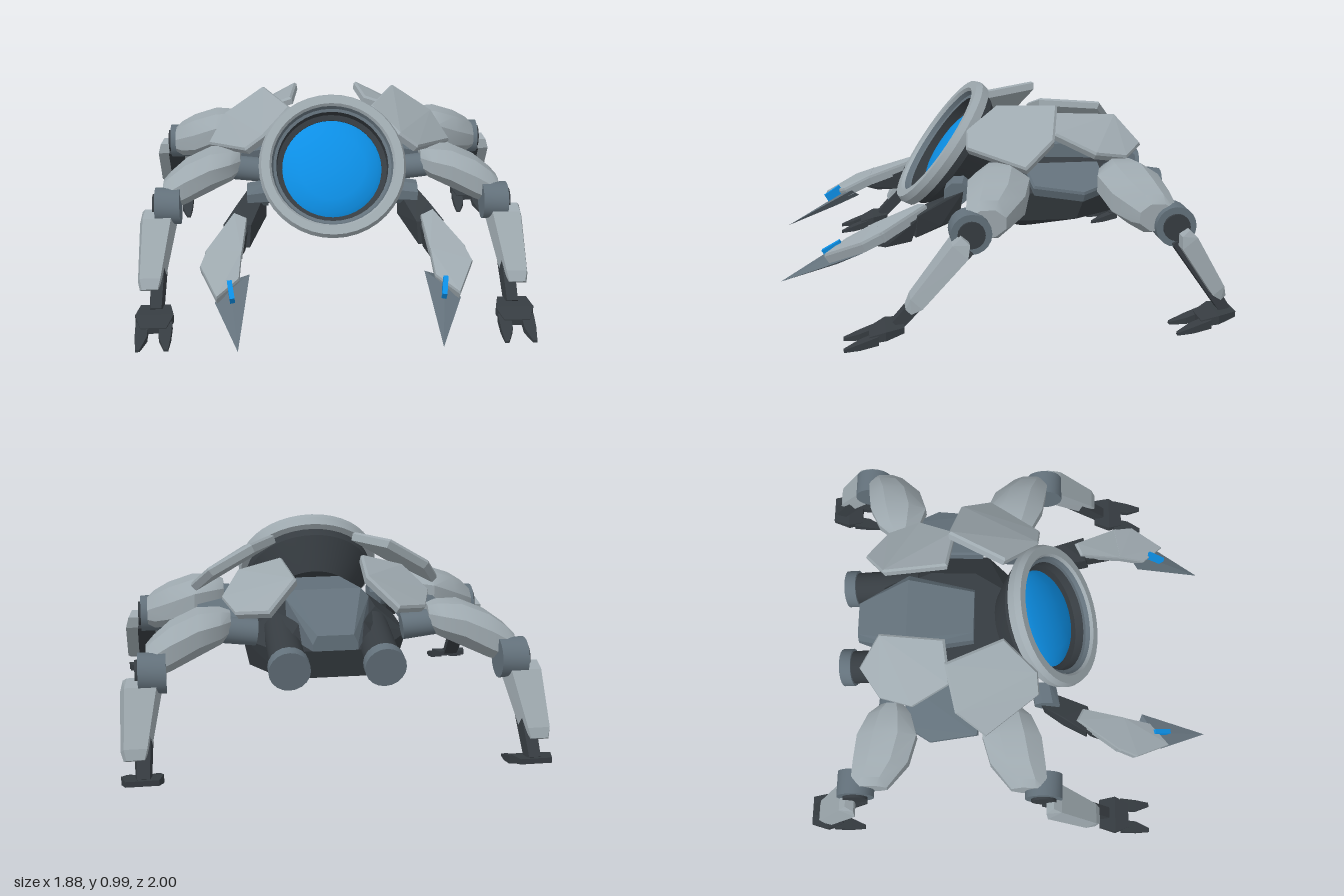
import * as THREE from 'three';
import { toCreasedNormals } from 'three/addons/utils/BufferGeometryUtils.js';
import { ConvexGeometry } from 'three/addons/geometries/ConvexGeometry.js';

const paint = (name, color) => Object.assign(new THREE.MeshStandardMaterial({ color }), { name });
const V = (x, y, z) => new THREE.Vector3(x, y, z);

export function createModel() {
  const light = paint('lightArmour', 0x9ea9af);
  const mid = paint('steel', 0x63717b);
  const dark = paint('darkMetal', 0x363c41);
  const blue = paint('blueGlass', 0x0c8ee4);

  const model = new THREE.Group();
  model.name = 'walker';

  const add = (parent, name, geometry, material) => {
    const mesh = new THREE.Mesh(geometry, material);
    mesh.name = name;
    parent.add(mesh);
    return mesh;
  };

  // Faceted solid around a handful of corners; s = -1 mirrors it in x
  const hull = (parent, name, material, pts, s = 1, crease = 0) => {
    const g = new ConvexGeometry(pts.map(([x, y, z]) => V(x * s, y, z)));
    return add(parent, name, crease ? toCreasedNormals(g, crease) : g, material);
  };

  // Bevelled armour plate hanging below a ring of corners
  const plate = (parent, name, material, pts, thick, s) => {
    const ring = pts.map(p => V(...p));
    const c = ring.reduce((a, p) => a.add(p), V(0, 0, 0)).divideScalar(ring.length);
    const n = V(0, 0, 0);
    ring.forEach((p, i) => n.add(p.clone().sub(c).cross(ring[(i + 1) % ring.length].clone().sub(c))));
    n.normalize();
    if (n.y < 0) n.negate();
    const layer = (scale, drop) => ring.map(p =>
      p.clone().sub(c).multiplyScalar(scale).add(c).addScaledVector(n, -drop).toArray());
    return hull(parent, name, material, [...layer(0.96, 0), ...layer(1, 0.012), ...layer(0.96, thick)], s);
  };

  // Eight-sided section in the yz plane
  const section = (x, y, z, ry, rz) => Array.from({ length: 8 }, (_, i) => {
    const a = (i + 0.5) * Math.PI / 4;
    return [x, y + ry * Math.cos(a) * 1.08, z + rz * Math.sin(a) * 1.08];
  });

  // Cylinder between two points
  const rod = (parent, name, material, a, b, r, s = 1, sides = 20) => {
    const A = V(a[0] * s, a[1], a[2]), B = V(b[0] * s, b[1], b[2]);
    const m = add(parent, name,
      toCreasedNormals(new THREE.CylinderGeometry(r, r, A.distanceTo(B), sides), 0.6), material);
    m.position.copy(A).lerp(B, 0.5);
    m.quaternion.setFromUnitVectors(V(0, 1, 0), B.sub(A).normalize());
    return m;
  };

  // Body: dark belly, upper core and central back block
  const body = new THREE.Group();
  body.name = 'body';
  model.add(body);
  const outline = (y, w, zf, zb, k = 0.6) => [1, -1].flatMap(s => [
    [s * w * k, y, zf], [s * w, y, zf - 0.16], [s * w, y, zb + 0.22], [s * w * k, y, zb]]);
  hull(body, 'belly', dark,
    [...outline(0.34, 0.29, 0.02, -0.40), ...outline(0.38, 0.35, 0.04, -0.62), ...outline(0.52, 0.38, 0.04, -0.66)]);
  hull(body, 'core', dark, [...outline(0.52, 0.38, 0.04, -0.66), ...outline(0.64, 0.24, -0.02, -0.62)]);
  const back = (y, k, lift = 0) => [1, -1].flatMap(s => [
    [s * 0.10 * k, y - lift, -0.75], [s * 0.19 * k, y, -0.5], [s * 0.13 * k, y - lift * 0.2, -0.18]]);
  hull(body, 'backBlock', mid, [...back(0.76, 0.8, 0.14), ...back(0.72, 1, 0.14), ...back(0.55, 1)]);

  // Tilted eye: rim, inner rings, glass dome and rear hood
  const eye = new THREE.Group();
  eye.name = 'eye';
  eye.position.set(0, 0.715, 0.24);
  eye.rotation.x = 0.95;
  model.add(eye);
  const turned = (name, material, profile) => add(eye, name, toCreasedNormals(
    new THREE.LatheGeometry(profile.map(p => new THREE.Vector2(...p)), 40), 0.5), material);
  turned('rim', light, [[0.31, -0.075], [0.345, -0.07], [0.352, -0.03], [0.34, 0], [0.3, 0], [0.29, -0.014]]);
  turned('innerRing', mid, [[0.29, -0.014], [0.282, -0.035], [0.268, -0.04]]);
  turned('socket', dark, [[0.268, -0.04], [0.265, -0.085], [0.24, -0.095], [0.24, -0.12]]);
  turned('glass', blue, [[0.245, -0.105], [0.22, -0.082], [0.16, -0.058], [0.08, -0.044], [0, -0.04]]);
  turned('hood', dark, [[0, -0.25], [0.2, -0.25], [0.25, -0.19], [0.31, -0.11], [0.315, -0.07]]);

  const leg = (s, name, jz, az, d) => {
    const g = new THREE.Group();
    g.name = name;
    model.add(g);
    const at = off => jz + d * off;
    rod(g, 'hip', mid, [0.33, 0.59, at(-0.17)], [0.48, 0.61, at(-0.165)], 0.06, s);
    hull(g, 'thigh', light, [
      ...section(0.445, 0.635, at(-0.175), 0.055, 0.055), ...section(0.49, 0.63, at(-0.165), 0.075, 0.1),
      ...section(0.59, 0.615, at(-0.155), 0.09, 0.14), ...section(0.71, 0.56, at(-0.125), 0.1, 0.13),
      ...section(0.785, 0.525, at(-0.085), 0.085, 0.1), ...section(0.82, 0.515, at(-0.075), 0.06, 0.08)], s, 0.5);
    rod(g, 'knee', mid, [0.735, 0.48, jz], [0.855, 0.48, jz], 0.09, s);
    rod(g, 'kneeCap', dark, [0.85, 0.48, jz], [0.868, 0.48, jz], 0.06, s);

    // Shin: dark bone with a light shell on its outer face
    const J = V(0.83, 0.47, jz), A = V(0.85, 0.09, az);
    const along = A.clone().sub(J).normalize();
    const out = V(0, -along.z, along.y).normalize();
    if (out.y < 0) out.negate();
    const slice = (t, cx, w, lo, hi) => {
      const p = J.clone().lerp(A, t);
      return [[-1, lo], [-0.75, hi], [0.75, hi], [1, lo]].map(([k, h]) =>
        [cx + k * w, p.y + out.y * h, p.z + out.z * h]);
    };
    hull(g, 'shinBone', dark, [...slice(0.1, 0.83, 0.045, -0.05, 0.02), ...slice(1, 0.845, 0.035, -0.025, 0.025)], s);
    hull(g, 'shinShell', light, [...slice(0.04, 0.845, 0.075, 0, 0.045), ...slice(0.14, 0.845, 0.09, -0.03, 0.055),
      ...slice(0.72, 0.873, 0.065, -0.02, 0.045), ...slice(0.82, 0.875, 0.05, 0, 0.03)], s);

    // Foot with two forward toes
    const pad = (x0, x1, y0, y1, z) => [[x0, y0, az + z], [x1, y0, az + z], [x0, y1, az + z], [x1, y1, az + z]];
    hull(g, 'foot', dark, [...pad(0.78, 0.92, 0.075, 0.1, -0.03), ...pad(0.76, 0.94, 0.05, 0.09, 0.05),
      ...pad(0.79, 0.91, 0.03, 0.06, 0.12)], s);
    for (const k of [-1, 1]) {
      const c = 0.85 + k * 0.055;
      hull(g, 'toe', dark, [...pad(c - 0.03, c + 0.03, 0.03, 0.07, 0.08),
        ...pad(c - 0.028, c + 0.028, 0.01, 0.04, 0.16), ...pad(c + k * 0.01 - 0.01, c + k * 0.01 + 0.01, 0, 0.012, 0.23)], s);
    }
  };

  for (const [s, side] of [[1, 'left'], [-1, 'right']]) {
    // Overlapping shell plates
    plate(body, side + 'FrontPlate', light, [[0.33, 0.935, -0.30], [0.53, 0.81, -0.25], [0.61, 0.70, -0.11],
      [0.42, 0.76, 0.14], [0.33, 0.825, 0.13], [0.20, 0.915, -0.03]], 0.045, s);
    plate(body, side + 'RearPlate', light, [[0.19, 0.87, -0.31], [0.16, 0.85, -0.62], [0.29, 0.73, -0.72],
      [0.43, 0.70, -0.62], [0.48, 0.73, -0.46], [0.39, 0.81, -0.28]], 0.04, s);
    plate(body, side + 'SidePlate', mid, [[0.34, 0.66, -0.14], [0.58, 0.61, -0.15], [0.61, 0.58, -0.38],
      [0.54, 0.60, -0.50], [0.34, 0.66, -0.50]], 0.05, s);

    // Exhaust
    rod(body, side + 'Exhaust', dark, [0.21, 0.56, -0.45], [0.21, 0.495, -0.78], 0.08, s);
    rod(body, side + 'ExhaustFlange', mid, [0.21, 0.497, -0.77], [0.21, 0.488, -0.825], 0.092, s);

    leg(s, side + 'FrontLeg', 0.165, 0.49, 1);
    leg(s, side + 'RearLeg', -0.735, -0.97, -1);

    // Claw arm
    const claw = new THREE.Group();
    claw.name = side + 'Claw';
    model.add(claw);
    hull(claw, 'shoulder', mid, [...section(0.31, 0.54, 0.16, 0.06, 0.06), ...section(0.41, 0.54, 0.18, 0.05, 0.06)], s);
    hull(claw, 'upperArm', dark, [[0.32, 0.54, 0.14], [0.41, 0.55, 0.15], [0.32, 0.42, 0.17], [0.41, 0.42, 0.17],
      [0.46, 0.52, 0.26], [0.47, 0.41, 0.26], [0.39, 0.47, 0.38], [0.52, 0.47, 0.37], [0.40, 0.36, 0.40], [0.52, 0.37, 0.38]], s);
    hull(claw, 'forearm', dark, [[0.40, 0.46, 0.36], [0.51, 0.46, 0.36], [0.42, 0.35, 0.40], [0.51, 0.35, 0.40],
      [0.45, 0.34, 0.52], [0.55, 0.34, 0.52], [0.46, 0.36, 0.6], [0.56, 0.36, 0.6]], s);
    plate(claw, 'innerShell', light, [[0.47, 0.515, 0.33], [0.41, 0.50, 0.36], [0.43, 0.42, 0.57], [0.60, 0.42, 0.55]], 0.05, s);
    plate(claw, 'outerShell', light, [[0.43, 0.425, 0.56], [0.59, 0.43, 0.53], [0.62, 0.39, 0.63],
      [0.54, 0.315, 0.80], [0.44, 0.355, 0.70]], 0.05, s);
    hull(claw, 'spike', mid, [[0.55, 0.27, 0.76], [0.395, 0.355, 0.66], [0.48, 0.315, 0.72],
      [0.49, 0.25, 0.74], [0.50, 0.30, 0.62], [0.444, 0.16, 1.0]], s);
    const lamp = add(claw, 'lamp', new THREE.BoxGeometry(0.022, 0.045, 0.095), blue);
    lamp.position.set(s * 0.477, 0.319, 0.755);
    lamp.rotation.set(0.55, s * -0.15, 0);
  }
  return model;
}
